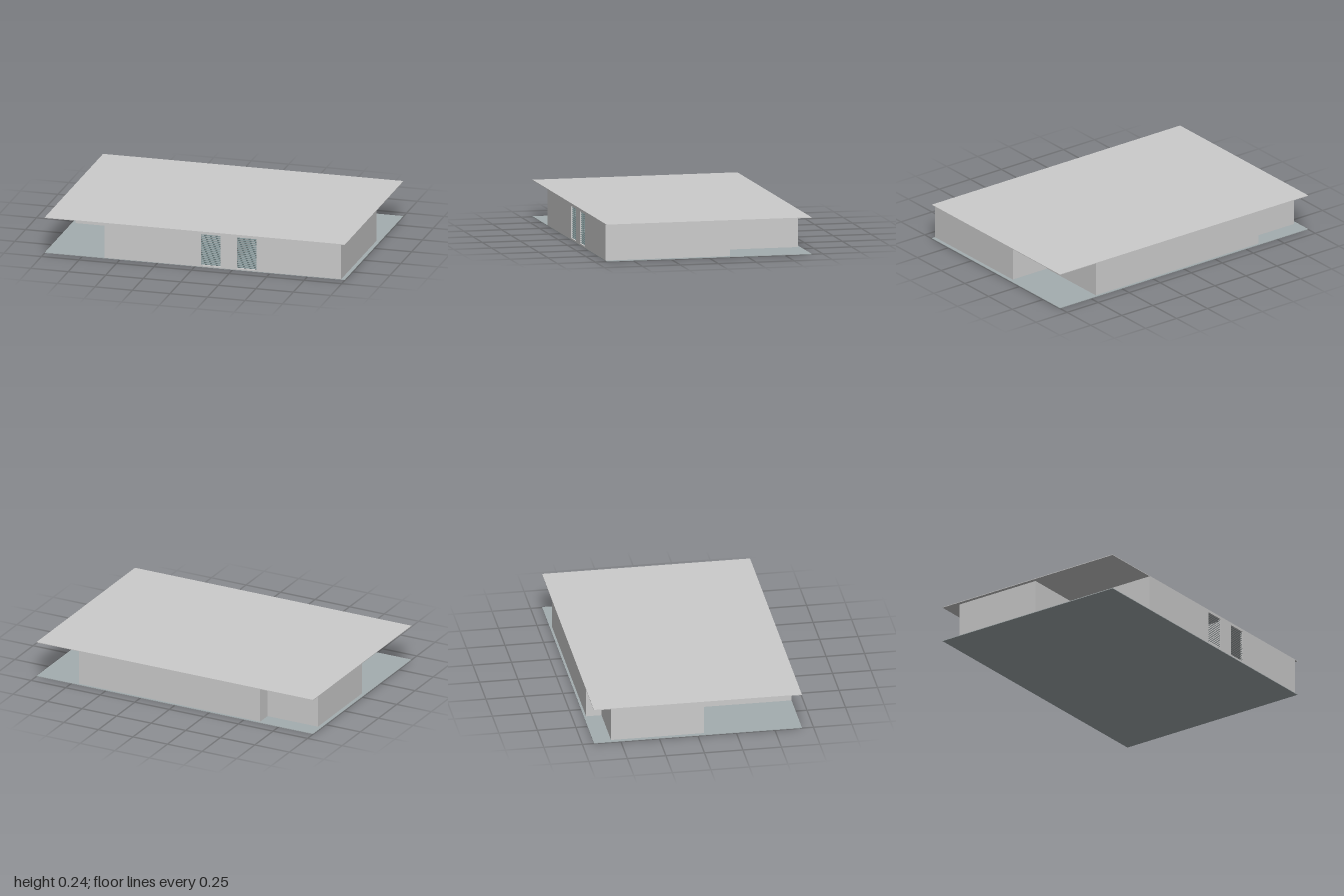
import * as THREE from 'three';

const GREY = new THREE.MeshStandardMaterial({ color: 0xcccccc });
const FLOOR = new THREE.MeshStandardMaterial({ color: 0xa4adaf });
const SLAT = new THREE.MeshStandardMaterial({ color: 0x758688 });

const H = 0.24, PLATE = 0.004, T = 0.02;   // total height, plate and wall thickness
const WALL_H = H - 2 * PLATE;

export function createModel() {
  const model = new THREE.Group();
  model.name = 'pavilion';

  const box = (name, w, h, d, x, y, z, material = GREY, parent = model) => {
    const mesh = new THREE.Mesh(new THREE.BoxGeometry(w, h, d), material);
    mesh.name = name;
    mesh.position.set(x, y, z);
    parent.add(mesh);
    return mesh;
  };

  // Floor and roof plates
  box('floor', 2, PLATE, 1.35, 0, PLATE / 2, 0, FLOOR);
  box('roof', 2, PLATE, 1.35, 0, H - PLATE / 2, 0);

  // Upright wall whose outer face runs from a to b, thickened to the inner side
  const wall = (name, [ax, az], [bx, bz]) => {
    const dx = bx - ax, dz = bz - az, len = Math.hypot(dx, dz);
    const nx = dz / len, nz = -dx / len;
    const mesh = box(name, len, WALL_H, T,
      (ax + bx) / 2 + nx * T / 2, H / 2, (az + bz) / 2 + nz * T / 2);
    mesh.rotation.y = Math.atan2(-dz, dx);
  };

  // Outer walls, stepping in at three corners
  const outline = [
    [0.975, 0.675], [0.975, 0.185], [0.975, -0.145], [0.70, -0.145], [0.70, -0.66],
    [-0.61, -0.66], [-0.61, -0.56], [-0.975, -0.56], [-0.975, 0.045], [-0.60, 0.045],
    [-0.60, 0.675],
  ];
  const names = ['leftFrontWall', 'leftMiddleWall', 'leftStepWall', 'leftRearWall', 'backWall',
    'rightRearStepWall', 'backRightWall', 'rightWall', 'recessWall', 'recessSideWall'];
  names.forEach((name, i) => wall(name, outline[i], outline[i + 1]));

  // Front wall with two window openings
  const windows = [[0.04, 0.17], [0.28, 0.41]];
  const sill = 0.014, head = 0.222;
  const rect = (Kind, x0, y0, x1, y1) => new Kind([
    new THREE.Vector2(x0, y0), new THREE.Vector2(x1, y0),
    new THREE.Vector2(x1, y1), new THREE.Vector2(x0, y1),
  ]);
  const face = rect(THREE.Shape, -0.60, PLATE, 0.50, H - PLATE);
  for (const [x0, x1] of windows) face.holes.push(rect(THREE.Path, x0, sill, x1, head));
  const front = new THREE.Mesh(
    new THREE.ExtrudeGeometry(face, { depth: T, bevelEnabled: false }), GREY);
  front.name = 'frontWall';
  front.position.z = 0.675 - T;
  model.add(front);
  box('frontLeftWall', 0.475, WALL_H, T, 0.7375, H / 2, 0.675 - T / 2);

  // Inner partitions behind the front wall
  box('windowPartition', T, WALL_H, 0.49, 0.225, H / 2, 0.42);
  box('crossPartition', 1.555, WALL_H, T, 0.1775, H / 2, 0.175);

  // Louvred shutters
  const count = 16;
  for (const [x0, x1] of windows) {
    const shutter = new THREE.Group();
    shutter.name = 'shutter';
    model.add(shutter);
    const pitch = (head - sill) / count;
    for (let i = 0; i < count; i++) {
      const slat = box('slat', x1 - x0, 0.002, 0.011,
        (x0 + x1) / 2, sill + pitch * (i + 0.5), 0.665, SLAT, shutter);
      slat.rotation.x = 0.6;
    }
  }
  return model;
}
